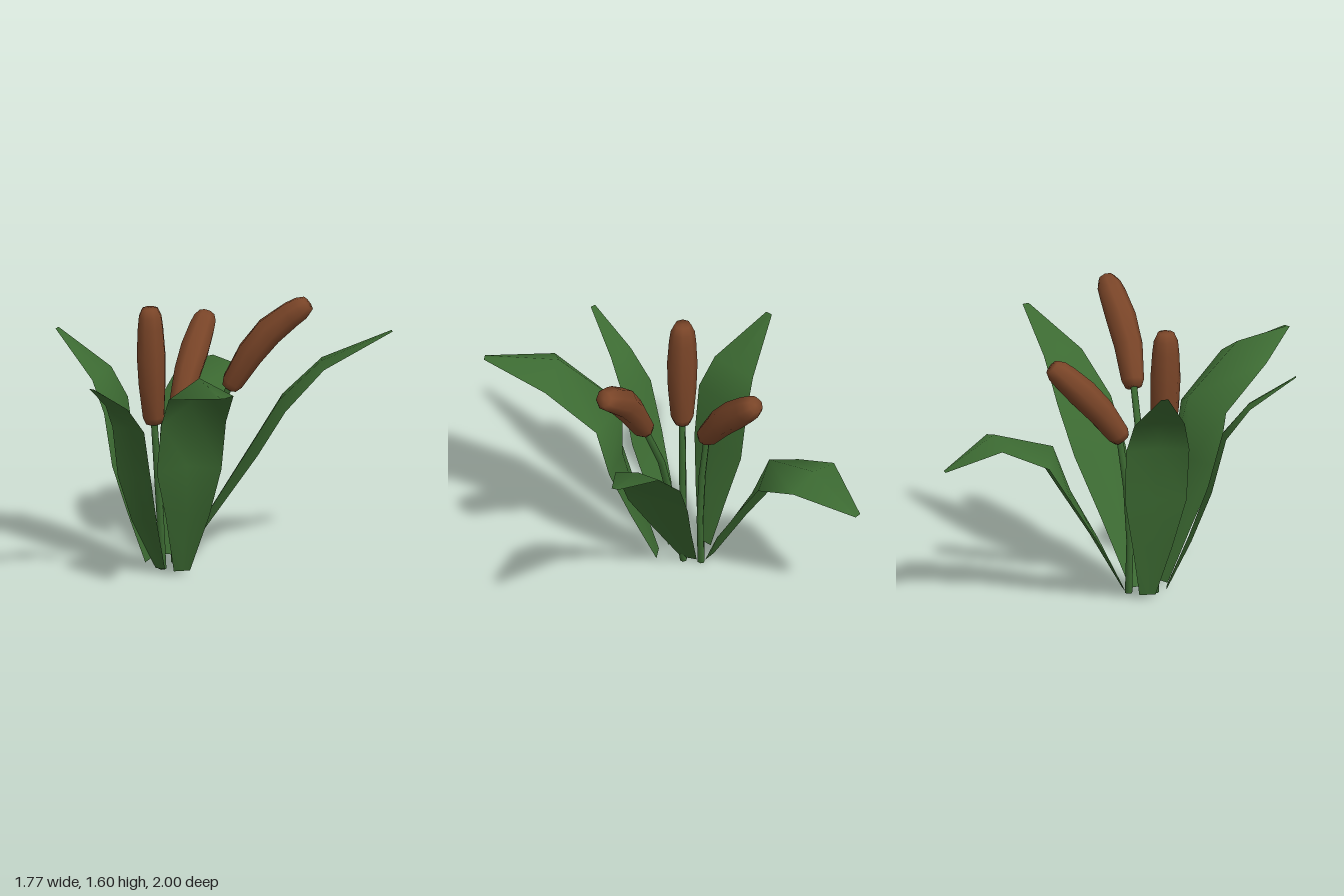
import * as THREE from 'three';
import { mergeVertices } from 'three/addons/utils/BufferGeometryUtils.js';

const V = (a) => new THREE.Vector3(a[0], a[1], a[2]);

// Leaf blade: rows of [x, y, z, half width, midrib height], spread sideways to the heading (hx, hz)
function leafGeometry(rows, hx, hz) {
  const across = new THREE.Vector3(-hz, 0, hx).normalize();
  const pos = [], index = [];
  rows.forEach((r, i) => {
    const c = V(r);
    const tangent = V(rows[Math.min(i + 1, rows.length - 1)]).sub(V(rows[Math.max(i - 1, 0)])).normalize();
    const up = across.clone().cross(tangent).normalize();
    const left = c.clone().addScaledVector(across, -r[3]);
    const mid = c.clone().addScaledVector(up, r[4]);
    const right = c.clone().addScaledVector(across, r[3]);
    for (const p of [left, mid, right]) pos.push(p.x, p.y, p.z);
    if (i === 0) return;
    for (let k = 0; k < 2; k++) {
      const a = (i - 1) * 3 + k, b = i * 3 + k;
      index.push(a, a + 1, b + 1, a, b + 1, b);
    }
  });
  const g = new THREE.BufferGeometry();
  g.setAttribute('position', new THREE.Float32BufferAttribute(pos, 3));
  g.setIndex(index);
  g.computeVertexNormals();
  return g;
}

// Turned profile of [radius, 0..1 along] bent along a curve through the points
function bentLathe(profile, points, sides) {
  const curve = new THREE.CatmullRomCurve3(points.map(V));
  let g = new THREE.LatheGeometry(profile.map((p) => new THREE.Vector2(p[0], p[1])), sides);
  const p = g.attributes.position;
  for (let i = 0; i < p.count; i++) {
    const t = THREE.MathUtils.clamp(p.getY(i), 0, 1);
    const tan = curve.getTangentAt(t);
    const n = new THREE.Vector3(1, 0, 0).addScaledVector(tan, -tan.x).normalize();
    const b = n.clone().cross(tan);
    const q = curve.getPointAt(t).addScaledVector(n, p.getX(i)).addScaledVector(b, p.getZ(i));
    p.setXYZ(i, q.x, q.y, q.z);
  }
  g.deleteAttribute('uv');
  g.deleteAttribute('normal');
  g = mergeVertices(g, 1e-4);
  g.computeVertexNormals();
  return g;
}

export function createModel() {
  const group = new THREE.Group();
  const leafGreen = new THREE.MeshStandardMaterial({ color: 0x3c6a32, side: THREE.DoubleSide });
  leafGreen.name = 'leaf green';
  const headBrown = new THREE.MeshStandardMaterial({ color: 0x7a4528 });
  headBrown.name = 'seed head brown';
  const add = (name, geometry, material) => {
    const m = new THREE.Mesh(geometry, material);
    m.name = name;
    group.add(m);
  };

  // Leaves
  add('backLeaf', leafGeometry([
    [-0.27, 0.04, 0.0, 0.04, 0.0],
    [-0.28, 0.33, -0.16, 0.13, 0.02],
    [-0.305, 0.6, -0.33, 0.175, 0.04],
    [-0.34, 0.81, -0.46, 0.18, 0.1],
    [-0.35, 0.92, -0.72, 0.18, 0.05],
    [-0.41, 0.785, -1.0, 0.02, 0.0],
  ], -0.12, -1), leafGreen);
  add('rightBackLeaf', leafGeometry([
    [-0.19, 0.03, 0.08, 0.045, 0.0],
    [0.015, 0.37, 0.005, 0.11, 0.02],
    [0.205, 0.69, -0.075, 0.17, 0.03],
    [0.34, 0.94, -0.145, 0.175, 0.03],
    [0.53, 1.16, -0.24, 0.125, 0.02],
    [0.87, 1.345, -0.405, 0.02, 0.0],
  ], 0.89, -0.46), leafGreen);
  add('sideLeaf', leafGeometry([
    [-0.352, 0.03, 0.12, 0.045, 0.0],
    [-0.42, 0.32, 0.14, 0.11, 0.01],
    [-0.485, 0.6, 0.15, 0.17, 0.015],
    [-0.53, 0.9, 0.155, 0.175, 0.02],
    [-0.615, 1.07, 0.155, 0.14, 0.015],
    [-0.885, 1.295, 0.152, 0.02, 0.0],
  ], -1, 0.05), leafGreen);
  add('frontLeaf', leafGeometry([
    [-0.225, 0.03, 0.24, 0.03, 0.0],
    [-0.26, 0.32, 0.37, 0.08, 0.015],
    [-0.27, 0.6, 0.48, 0.105, 0.02],
    [-0.27, 0.9, 0.56, 0.1, 0.02],
    [-0.28, 1.06, 0.69, 0.07, 0.015],
    [-0.315, 1.23, 0.94, 0.015, 0.0],
  ], -0.1, 1), leafGreen);
  add('rightFrontLeaf', leafGeometry([
    [-0.1, 0.03, 0.23, 0.045, 0.0],
    [-0.02, 0.37, 0.33, 0.12, 0.02],
    [0.035, 0.67, 0.43, 0.18, 0.05],
    [0.085, 0.96, 0.48, 0.18, 0.14],
    [0.24, 1.19, 0.72, 0.18, 0.11],
    [0.48, 1.285, 0.985, 0.02, 0.0],
  ], 0.59, 0.81), leafGreen);

  // Three stalks, each a thin stem carrying a thick seed head
  const stemProfile = [[0, 0], [0.02, 0], [0.02, 0.33], [0.02, 0.67], [0.018, 1], [0, 1]];
  const headProfile = [[0, 0], [0.045, 0], [0.062, 0.06], [0.078, 0.35], [0.083, 0.6],
    [0.074, 0.83], [0.066, 0.93], [0.045, 1], [0, 1]];
  const stalks = [
    ['upright',
      [[-0.24, 0.01, 0.175], [-0.255, 0.42, 0.19], [-0.275, 0.88, 0.215]],
      [[-0.275, 0.845, 0.215], [-0.285, 1.17, 0.225], [-0.293, 1.5, 0.228]]],
    ['right',
      [[-0.18, 0.01, 0.11], [-0.08, 0.55, 0.12], [0.02, 0.87, 0.12], [0.14, 1.1, 0.1]],
      [[0.125, 1.07, 0.1], [0.25, 1.28, 0.085], [0.37, 1.43, 0.05], [0.55, 1.57, 0.0]]],
    ['back',
      [[-0.235, 0.01, 0.03], [-0.235, 0.45, 0.035], [-0.23, 0.9, -0.02]],
      [[-0.228, 0.88, -0.005], [-0.23, 1.03, -0.11], [-0.232, 1.17, -0.24], [-0.235, 1.31, -0.39]]],
  ];
  for (const [name, stem, head] of stalks) {
    add(name + 'Stem', bentLathe(stemProfile, stem, 6), leafGreen);
    add(name + 'SeedHead', bentLathe(headProfile, head, 8), headBrown);
  }
  return group;
}
